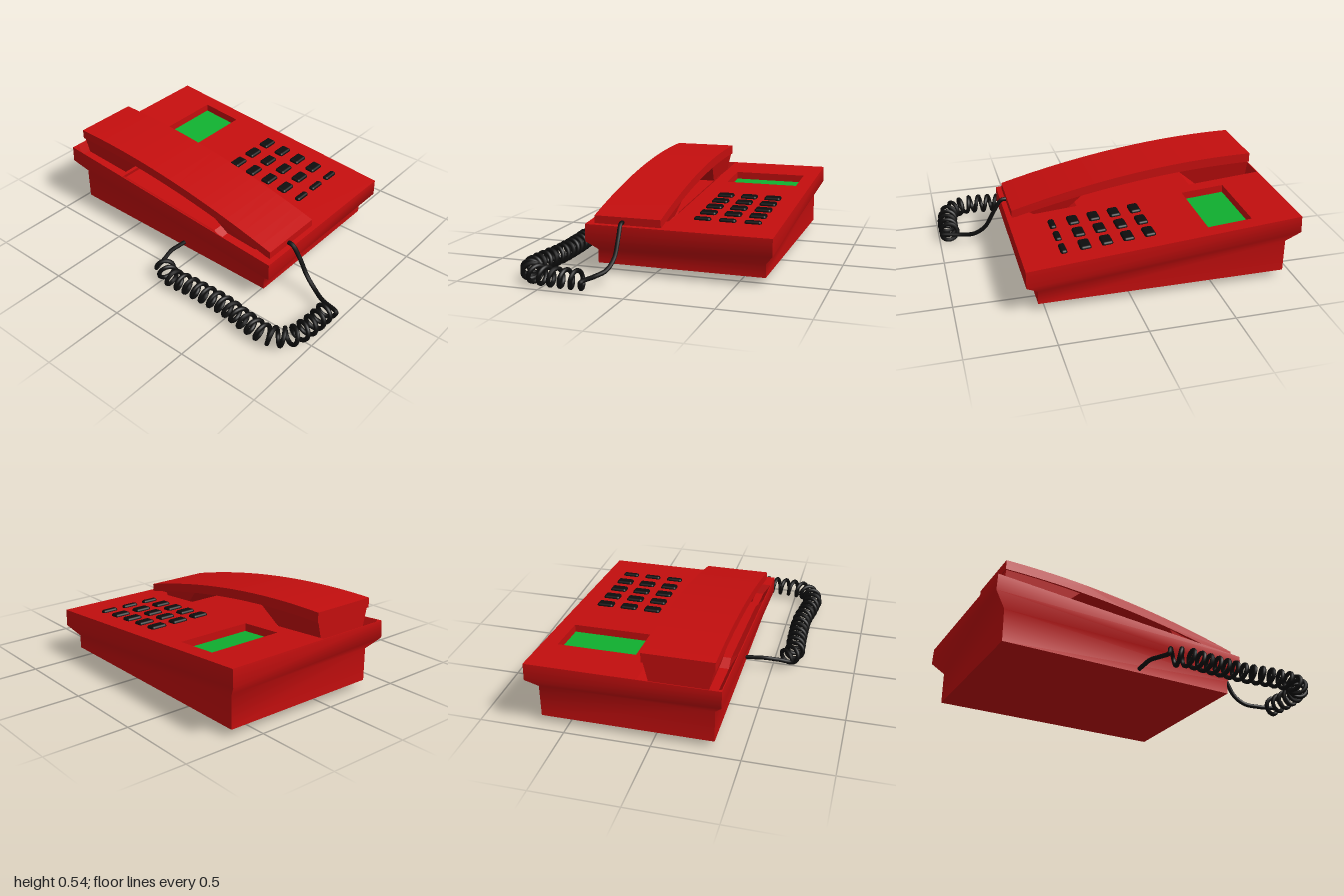
import * as THREE from 'three';
import { RoundedBoxGeometry } from 'three/addons/geometries/RoundedBoxGeometry.js';

const paint = (color, flatShading = false) =>
  new THREE.MeshStandardMaterial({ color, flatShading, side: THREE.DoubleSide });
const RED = 0xc40e0e, BLACK = 0x0d0d0d, GREEN = 0x10b030;

// Height of the sloping top of the body
const SLOPE = 0.08;
const topY = (z) => 0.336 - SLOPE * z;

// Surface through rows of points
function grid(rows) {
  const n = rows[0].length, index = [];
  for (let r = 0; r < rows.length - 1; r++) {
    for (let j = 0; j < n - 1; j++) {
      const a = r * n + j, b = a + n;
      index.push(a, a + 1, b + 1, a, b + 1, b);
    }
  }
  const g = new THREE.BufferGeometry();
  g.setAttribute('position', new THREE.Float32BufferAttribute(rows.flat(2), 3));
  g.setIndex(index);
  g.computeVertexNormals();
  return g;
}

// Recess below the top: rim x range, wall inset, and [z, depth] stations from front to back
function recess(x0, x1, inset, stations) {
  return grid(stations.map(([z, d]) => [
    [x0, topY(z), z],
    [x0 + inset, topY(z) - d, z],
    [x1 - inset, topY(z) - d, z],
    [x1, topY(z), z],
  ]));
}

// Side profile in (z, y), extruded across x
function extrudeAcross(shape, x0, x1) {
  const g = new THREE.ExtrudeGeometry(shape, { depth: x1 - x0, bevelEnabled: false, curveSegments: 24 });
  return g.rotateY(-Math.PI / 2).translate(x1, 0, 0);
}

function rectPath(x0, x1, z0, z1, Type = THREE.Path) {
  return new Type([[x0, z0], [x1, z0], [x1, z1], [x0, z1]].map(([x, z]) => new THREE.Vector2(x, -z)));
}

export function createModel() {
  const model = new THREE.Group();
  const add = (name, geometry, material, parent = model) => {
    const mesh = new THREE.Mesh(geometry, material);
    mesh.name = name;
    parent.add(mesh);
    return mesh;
  };
  const red = paint(RED), redFlat = paint(RED, true), black = paint(BLACK);

  // Body sides: narrow foot flaring out to a wider rim
  const body = new THREE.Group();
  body.name = 'body';
  model.add(body);
  const rings = [
    [-0.34, 0.655, 0.54, -0.93, 0.045, 0.045],
    [-0.34, 0.655, 0.54, -0.93, 0.125, 0.24],
    [-0.39, 0.705, 0.61, -1.0, 0.185, 0.315],
    [-0.39, 0.705, 0.61, -0.995, topY(0.61), topY(-0.995)],
  ].map(([x0, x1, zf, zb, yf, yb]) => [[x0, yf, zf], [x1, yf, zf], [x1, yb, zb], [x0, yb, zb]]);
  for (let i = 0; i < 4; i++) {
    add('bodySide', grid(rings.map((c) => [c[i], c[(i + 1) % 4]])), red, body);
  }
  const [b0, b1, b2, b3] = rings[0];
  add('bodyBottom', grid([[b3, b2], [b0, b1]]), redFlat, body);

  // Sloping top with openings for the cradle and the display
  const top = rectPath(-0.39, 0.705, 0.61, -0.995, THREE.Shape);
  top.holes.push(rectPath(-0.385, 0.068, 0.47, -0.99), rectPath(0.155, 0.615, -0.46, -0.725));
  const topGeo = new THREE.ShapeGeometry(top).rotateX(-Math.PI / 2);
  const p = topGeo.attributes.position;
  for (let i = 0; i < p.count; i++) p.setY(i, topY(p.getZ(i)));
  topGeo.computeVertexNormals();
  add('bodyTop', topGeo, redFlat, body);

  // Cradle: two wells joined by a shallower channel
  add('cradle', recess(-0.385, 0.068, 0.04, [
    [0.47, 0], [0.45, 0.06], [0.22, 0.06], [0.17, 0.03],
    [-0.56, 0.03], [-0.62, 0.07], [-0.97, 0.07], [-0.99, 0],
  ]), redFlat, body);

  // Sunken display
  add('displayRecess', recess(0.155, 0.615, 0, [
    [-0.46, 0], [-0.46, 0.05], [-0.725, 0.05], [-0.725, 0],
  ]), redFlat, body);
  add('displayScreen', grid([-0.46, -0.725].map((z) =>
    [[0.156, topY(z) - 0.046, z], [0.614, topY(z) - 0.046, z]])), paint(GREEN, true));

  // Keypad: four rows of large keys and one of small keys
  const keypad = new THREE.Group();
  keypad.name = 'keypad';
  model.add(keypad);
  for (let row = 0; row < 5; row++) {
    const keyGeo = new RoundedBoxGeometry(0.1, 0.04, row < 4 ? 0.065 : 0.038, 3, 0.014);
    for (let col = 0; col < 3; col++) {
      const z = -0.13 + row * 0.125;
      const key = add('key', keyGeo, black, keypad);
      key.position.set(0.24 + col * 0.149, topY(z) - 0.004, z);
      key.rotation.x = Math.atan(SLOPE);
    }
  }

  // Handset: arched bar
  const handset = new THREE.Group();
  handset.name = 'handset';
  model.add(handset);
  const bar = new THREE.Shape();
  bar.moveTo(0.58, 0.335);
  bar.quadraticCurveTo(-0.2, 0.55, -0.935, 0.545);
  bar.lineTo(-0.935, 0.488);
  bar.quadraticCurveTo(-0.2, 0.49, 0.58, 0.285);
  bar.closePath();
  add('handsetBar', extrudeAcross(bar, -0.342, 0.06), red, handset);

  // Ear and mouth pieces, narrowing downward
  const pads = {
    earpiece: [[-0.46, 0.478], [-0.61, 0.345], [-0.93, 0.37], [-0.93, 0.495]],
    mouthpiece: [[0.13, 0.395], [0.24, 0.285], [0.44, 0.265], [0.575, 0.283], [0.575, 0.295]],
  };
  for (const [name, pts] of Object.entries(pads)) {
    const g = extrudeAcross(new THREE.Shape(pts.map(([z, y]) => new THREE.Vector2(z, y))), -0.335, 0.053);
    const yTop = Math.max(...pts.map((q) => q[1]));
    const pos = g.attributes.position;
    for (let i = 0; i < pos.count; i++) {
      const k = 1 - 1.2 * (yTop - pos.getY(i));
      pos.setX(i, -0.141 + (pos.getX(i) + 0.141) * k);
    }
    g.computeVertexNormals();
    add(name, g, redFlat, handset);
  }

  // Cord: lead from the handset, long coil, and lead into the body side
  const v = (x, y, z) => new THREE.Vector3(x, y, z);
  const CY = 0.062, R = 0.048, TURNS = 21;
  const axis = new THREE.CatmullRomCurve3([
    [-0.25, 0.935], [-0.42, 0.935], [-0.57, 0.9], [-0.635, 0.8], [-0.63, 0.65],
    [-0.608, 0.48], [-0.612, 0.2], [-0.618, 0.06], [-0.575, -0.03],
  ].map(([x, z]) => v(x, CY, z)));
  const cord = [
    v(-0.17, 0.305, 0.56), v(-0.17, 0.3, 0.61), v(-0.165, 0.23, 0.66),
    v(-0.167, 0.13, 0.72), v(-0.185, 0.08, 0.79), v(-0.22, 0.065, 0.87),
  ];
  const steps = TURNS * 12;
  for (let i = 0; i <= steps; i++) {
    const u = i / steps, angle = u * TURNS * Math.PI * 2 + Math.PI / 2;
    const t = axis.getTangentAt(u);
    const side = v(t.z, 0, -t.x);
    const c = axis.getPointAt(u).addScaledVector(side, R * 1.05 * Math.sin(angle));
    c.y += R * Math.cos(angle);
    cord.push(c);
  }
  cord.push(v(-0.54, 0.07, -0.065), v(-0.46, 0.08, -0.08), v(-0.39, 0.075, -0.082), v(-0.33, 0.07, -0.082));
  add('cord', new THREE.TubeGeometry(new THREE.CatmullRomCurve3(cord), 900, 0.013, 8), black);

  return model;
}
